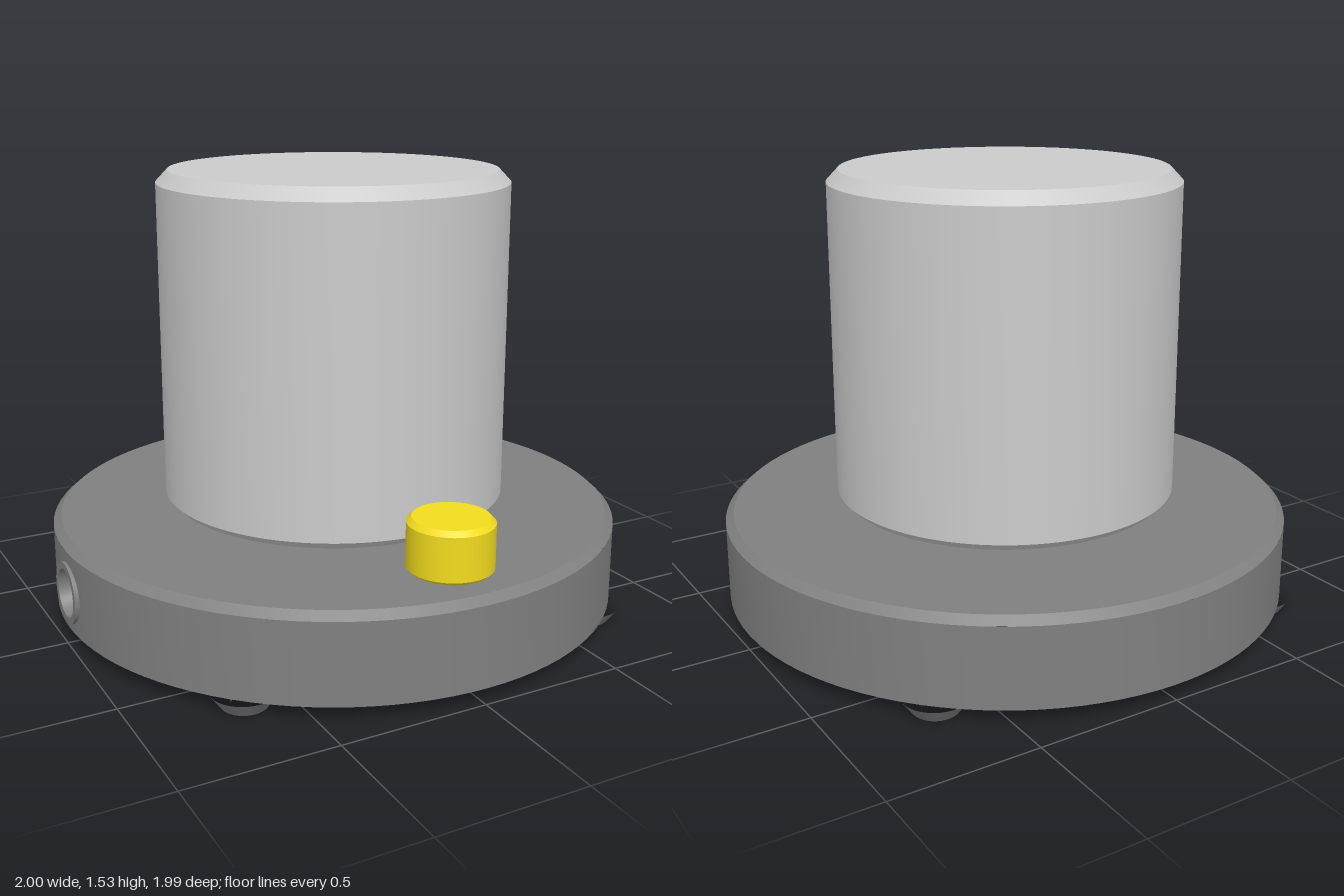
import * as THREE from 'three';
import { toCreasedNormals } from 'three/addons/utils/BufferGeometryUtils.js';
import { ParametricGeometry } from 'three/addons/geometries/ParametricGeometry.js';

const R = 0.993;        // base radius
const PORT_Y = 0.18;    // port height
const PORT_R = 0.105;
const PORT_W = 0.14;    // half angle of the wall section that holds the port

const light = new THREE.MeshStandardMaterial({ color: 0xcccccc });
const dark = new THREE.MeshStandardMaterial({ color: 0x808080 });
const darkThin = new THREE.MeshStandardMaterial({ color: 0x808080, side: THREE.DoubleSide });
const yellow = new THREE.MeshStandardMaterial({ color: 0xf2dc1e });

function lathe(name, profile, material, segments = 96, start = 0, length = Math.PI * 2) {
  const points = profile.map(([r, y]) => new THREE.Vector2(r, y));
  const geometry = new THREE.LatheGeometry(points, segments, start, length);
  const mesh = new THREE.Mesh(toCreasedNormals(geometry, 0.4), material);
  mesh.name = name;
  return mesh;
}

// Wall section: blends a rectangle into the round port opening, bent on the base radius
function portWall() {
  const corners = [[-1, -1], [1, -1], [1, 1], [-1, 1], [-1, -1]];
  const point = (u, v, target) => {
    const side = Math.min(3, Math.floor(u * 4 + 1e-6));
    const f = u * 4 - side;
    const [a, b] = [corners[side], corners[side + 1]];
    const s = (a[0] + (b[0] - a[0]) * f) * PORT_W * R;
    const y = 0.1875 + (a[1] + (b[1] - a[1]) * f) * 0.1375;
    const angle = Math.atan2(y - PORT_Y, s);
    const ps = s + (PORT_R * Math.cos(angle) - s) * v;
    const py = y + (PORT_Y + PORT_R * Math.sin(angle) - y) * v;
    const phi = Math.PI * 1.5 + ps / R;
    target.set(R * Math.sin(phi), py, R * Math.cos(phi));
  };
  const mesh = new THREE.Mesh(new ParametricGeometry(point, 64, 2), darkThin);
  mesh.name = 'portWall';
  return mesh;
}

function polygonHole(x, z, r, sides) {
  const path = new THREE.Path();
  for (let i = 0; i < sides; i++) {
    const a = (i + 0.5) * Math.PI * 2 / sides;
    path[i ? 'lineTo' : 'moveTo'](x + r * Math.cos(a), z + r * Math.sin(a));
  }
  path.closePath();
  return path;
}

// Floor plate with honeycomb vents, a row of small holes and a slot
function floorPlate() {
  const shape = new THREE.Shape().absarc(0, 0, 0.932, 0, Math.PI * 2);
  const pitch = 0.185;
  for (const side of [-1, 1]) {
    [7, 6, 5].forEach((count, row) => {
      for (let i = 0; i < count; i++) {
        const x = (i - (count - 1) / 2) * pitch;
        shape.holes.push(polygonHole(x, side * (0.28 + row * 0.16), 0.08, 6));
      }
    });
  }
  for (const i of [-4, -3, -2, 1, 2, 3, 4]) {
    shape.holes.push(polygonHole(i * pitch, 0, 0.045, 6));
  }
  const slot = new THREE.Path();
  slot.absarc(-0.17, 0.12, 0.025, 0, Math.PI);
  slot.absarc(-0.17, -0.12, 0.025, Math.PI, Math.PI * 2);
  slot.closePath();
  shape.holes.push(slot);
  const geometry = new THREE.ExtrudeGeometry(shape, { depth: 0.04, bevelEnabled: false, curveSegments: 48 });
  const mesh = new THREE.Mesh(geometry, dark);
  mesh.name = 'floorPlate';
  mesh.rotation.x = Math.PI / 2;
  mesh.position.y = 0.09;
  return mesh;
}

function foot(x, z) {
  const group = new THREE.Group();
  group.name = 'foot';
  group.add(lathe('footPad', [[0, 0.03], [0.04, 0.03], [0.045, 0], [0.075, 0], [0.112, 0.05]], dark, 32));
  group.add(lathe('footScrew', [[0, 0.018], [0.018, 0.018], [0.026, 0.03]], light, 24));
  group.position.set(x, 0, z);
  return group;
}

export function createModel() {
  const model = new THREE.Group();
  const body = new THREE.Group();
  body.name = 'body';
  body.position.x = 0.004;
  model.add(body);

  // Hollow round base, with an opening in the wall for the port
  body.add(
    lathe('baseInside', [[0, 0.3], [0.93, 0.3], [0.93, 0.05], [R, 0.05]], dark),
    lathe('baseTop', [[R, 0.325], [0.965, 0.35], [0, 0.35]], dark),
    lathe('baseWall', [[R, 0.05], [R, 0.325]], dark, 96,
      Math.PI * 1.5 + PORT_W, Math.PI * 2 - PORT_W * 2),
    portWall(),
    floorPlate(),
  );

  // Side port
  const port = lathe('sidePort',
    [[PORT_R, 0.945], [PORT_R, 1.003], [0.082, 1.003], [0.07, 0.945], [0, 0.945]], dark, 40);
  port.rotation.z = Math.PI / 2;
  port.position.y = PORT_Y;
  body.add(port);

  // Drum on its neck
  body.add(
    lathe('neck', [[0.495, 0.345], [0.495, 0.39]], light),
    lathe('drum', [[0, 0.382], [0.575, 0.382], [0.6, 0.408], [0.6, 1.488], [0.56, 1.53], [0, 1.53]], light),
  );

  // Knob with a shaft through the base top
  const knob = new THREE.Group();
  knob.name = 'knob';
  knob.position.z = 0.777;
  knob.add(
    lathe('knobCap', [[0, 0.362], [0.13, 0.362], [0.14, 0.372], [0.14, 0.518], [0.124, 0.535], [0, 0.535]], yellow, 48),
    lathe('knobShaft', [[0, 0.29], [0.045, 0.29], [0.045, 0.37]], yellow, 24),
  );
  body.add(knob);

  // Four screwed feet
  for (const x of [-0.65, 0.65]) for (const z of [-0.65, 0.65]) body.add(foot(x, z));

  return model;
}
